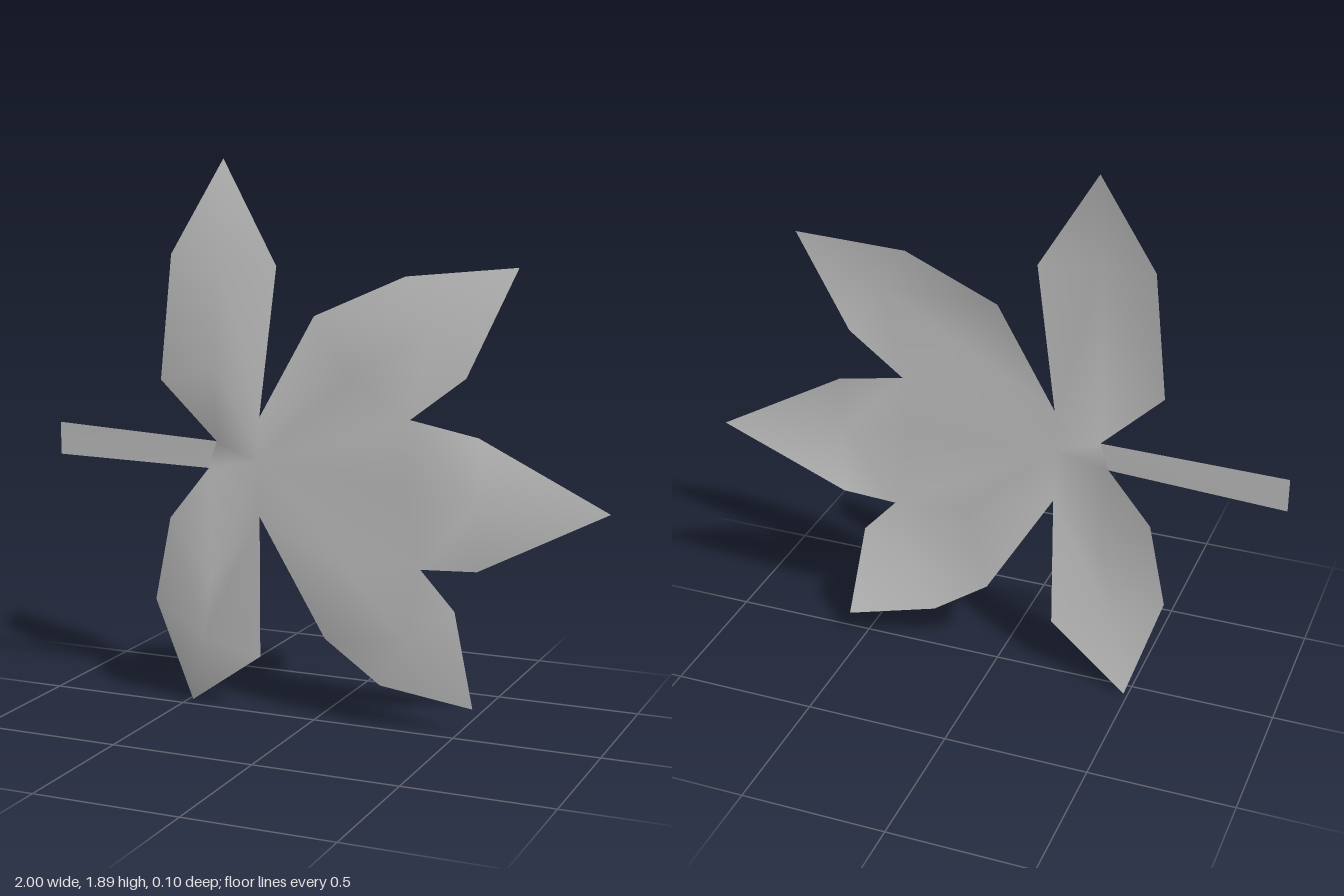
import * as THREE from 'three';
import { mergeVertices } from 'three/addons/utils/BufferGeometryUtils.js';

const grey = new THREE.MeshStandardMaterial({ color: 0xcccccc, side: THREE.DoubleSide });
grey.name = 'leaf grey';

// Points are [x, y] or [x, y, z]; the rim of the leaf lies at z = 0.
const center = [-0.2, 0.88, 0.005];
const notch = {
  stemTop: [-0.36, 0.94], top: [-0.2, 1.03], upper: [0.34, 1.055],
  lower: [0.38, 0.56], bottom: [-0.2, 0.69], stemBottom: [-0.39, 0.845],
};

// Each lobe: a raised midrib, a drooping tip and the rim on either side.
const lobes = [
  { rib: [[-0.34, 1.19, 0.05], [-0.34, 1.55, 0.02]], tip: [-0.35, 1.89, -0.05],
    sides: [[notch.stemTop, [-0.57, 1.14], [-0.525, 1.57]], [notch.top, [-0.135, 1.54]]] },
  { rib: [[0.15, 1.19, 0.05], [0.41, 1.36, 0.02]], tip: [0.685, 1.555, -0.05],
    sides: [[notch.top, [0, 1.38], [0.32, 1.52]], [notch.upper, [0.53, 1.2]]] },
  { rib: [[0.34, 0.83, 0.05], [0.58, 0.79, 0.03]], tip: [1, 0.785, -0.05],
    sides: [[notch.upper, [0.575, 1.01]], [notch.lower, [0.575, 0.57]]] },
  { rib: [[0.14, 0.55, 0.05], [0.34, 0.32, 0.02]], tip: [0.55, 0.09, -0.05],
    sides: [[notch.lower, [0.5, 0.43]], [notch.bottom, [0.04, 0.29], [0.24, 0.15]]] },
  { rib: [[-0.36, 0.48, 0.05], [-0.41, 0.25, 0.02]], tip: [-0.485, 0, -0.05],
    sides: [[notch.bottom, [-0.2, 0.2]], [notch.stemBottom, [-0.54, 0.66], [-0.6, 0.365]]] },
];

// Adds a triangle facing +z, skipping collapsed ones.
function addTriangle(out, a, b, c) {
  const area = (b[0] - a[0]) * (c[1] - a[1]) - (b[1] - a[1]) * (c[0] - a[0]);
  if (Math.abs(area) < 1e-6) return;
  for (const p of area > 0 ? [a, b, c] : [a, c, b]) out.push(p[0], p[1], p[2] ?? 0);
}

function makeSurface(name, positions) {
  let geometry = new THREE.BufferGeometry();
  geometry.setAttribute('position', new THREE.Float32BufferAttribute(positions, 3));
  geometry = mergeVertices(geometry);
  geometry.computeVertexNormals();
  const mesh = new THREE.Mesh(geometry, grey);
  mesh.name = name;
  return mesh;
}

export function createModel() {
  const group = new THREE.Group();
  group.name = 'leaf';

  // Blade: stitch each rim side to its midrib
  const blade = [];
  for (const { rib: [m1, m2], tip, sides } of lobes) {
    for (const side of sides) {
      const [a, b, c] = side.length === 3 ? side : [side[0], ...side];
      addTriangle(blade, center, a, m1);
      addTriangle(blade, a, b, m1);
      addTriangle(blade, b, m2, m1);
      addTriangle(blade, b, c, m2);
      addTriangle(blade, c, tip, m2);
    }
  }
  addTriangle(blade, center, notch.stemTop, notch.stemBottom);
  group.add(makeSurface('blade', blade));

  // Stem: flat strip bending slightly backwards
  const stem = [];
  const endTop = [-1, 0.96, -0.05], endBottom = [-1, 0.845, -0.05];
  addTriangle(stem, notch.stemTop, endTop, endBottom);
  addTriangle(stem, notch.stemTop, endBottom, notch.stemBottom);
  group.add(makeSurface('stem', stem));

  return group;
}
